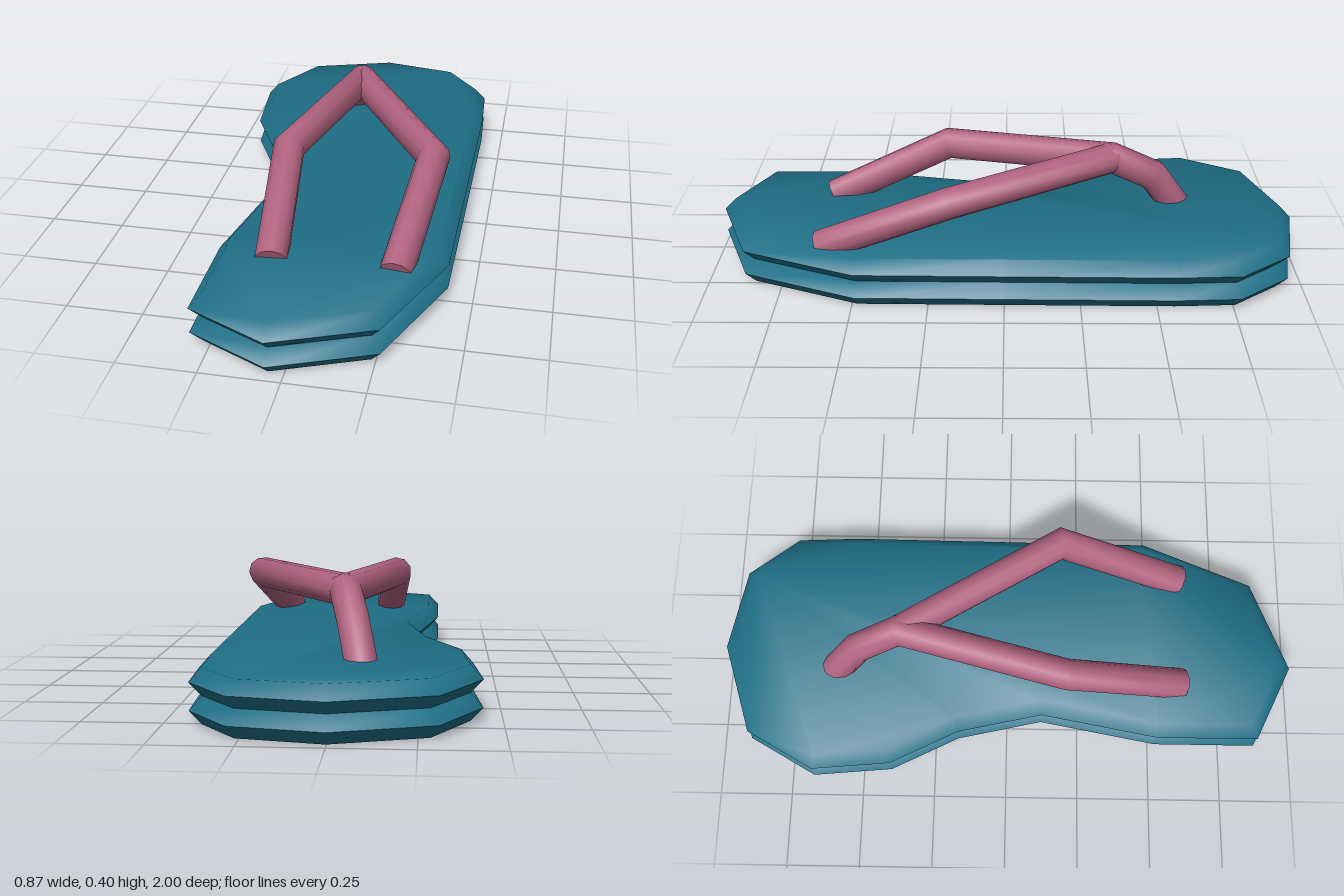
import * as THREE from 'three';
import { toCreasedNormals } from 'three/addons/utils/BufferGeometryUtils.js';

const SOLE = new THREE.MeshStandardMaterial({ color: 0x1f7088 });
const STRAP = new THREE.MeshStandardMaterial({ color: 0xb0627f });

// Foot outline as [x, z], widest line of each sole layer
const OUTLINE = [
  [0, -1], [-0.31, -0.9], [-0.44, -0.67], [-0.415, -0.4], [-0.3, -0.17],
  [-0.235, 0.12], [-0.31, 0.52], [-0.31, 0.87], [-0.05, 0.995], [0.265, 0.87],
  [0.42, 0.49], [0.425, 0], [0.43, -0.56], [0.42, -0.77], [0.285, -0.945],
].map(([x, z]) => new THREE.Vector2(x, z));

// Move every outline corner inward along its mitre
function inset(points, d) {
  const n = points.length;
  return points.map((p, i) => {
    const a = p.clone().sub(points[(i + n - 1) % n]).normalize();
    const b = points[(i + 1) % n].clone().sub(p).normalize();
    const na = new THREE.Vector2(a.y, -a.x), nb = new THREE.Vector2(b.y, -b.x);
    const m = na.clone().add(nb).normalize();
    return p.clone().addScaledVector(m, d / m.dot(na));
  });
}

// Join equal-sized rings of points into a closed skin, with both ends capped
function loft(rings, capFaces, crease) {
  const n = rings[0].length, last = (rings.length - 1) * n, index = [];
  for (let r = 0; r < rings.length - 1; r++) {
    for (let i = 0; i < n; i++) {
      const a = r * n + i, b = r * n + (i + 1) % n;
      index.push(a, b, b + n, a, b + n, a + n);
    }
  }
  for (const [a, b, c] of capFaces) index.push(a, c, b, last + a, last + b, last + c);
  const g = new THREE.BufferGeometry().setFromPoints(rings.flat());
  g.setIndex(index);
  return toCreasedNormals(g, crease);
}

function soleLayer(y0, y1) {
  const rim = inset(OUTLINE, 0.037);
  const ring = (pts, y) => pts.map((p) => new THREE.Vector3(p.x, y, p.y));
  const rings = [ring(rim, y0), ring(OUTLINE, (y0 + y1) / 2), ring(rim, y1)];
  // Triangulation keeps the outline's turning direction, made to face up
  const faces = THREE.ShapeUtils.triangulateShape(rim, []).map(([a, b, c]) => {
    const cross = rim[b].clone().sub(rim[a]).cross(rim[c].clone().sub(rim[a]));
    return cross < 0 ? [a, b, c] : [a, c, b];
  });
  return loft(rings, faces, Math.PI / 3);
}

// Round bar swept along straight pieces with mitred bends
function bar(path, radius, sides = 10) {
  const pts = path.map((p) => new THREE.Vector3(...p));
  const dirs = pts.slice(1).map((p, i) => p.clone().sub(pts[i]).normalize());
  const u = new THREE.Vector3(0, 1, 0).cross(dirs[0]).normalize();
  const v = dirs[0].clone().cross(u);
  let ring = [];
  for (let i = 0; i < sides; i++) {
    const t = (i / sides) * Math.PI * 2;
    ring.push(pts[0].clone().addScaledVector(u, radius * Math.cos(t)).addScaledVector(v, radius * Math.sin(t)));
  }
  const rings = [ring];
  dirs.forEach((d, i) => {
    const plane = d.clone().add(dirs[i + 1] ?? d).normalize();
    ring = ring.map((q) => q.clone().addScaledVector(d, pts[i + 1].clone().sub(q).dot(plane) / d.dot(plane)));
    rings.push(ring);
  });
  const faces = [];
  for (let i = 1; i < sides - 1; i++) faces.push([0, i, i + 1]);
  return loft(rings, faces, Math.PI / 3);
}

export function createModel() {
  const group = new THREE.Group();
  group.name = 'flipFlop';
  const add = (name, geometry, material) => {
    const mesh = new THREE.Mesh(geometry, material);
    mesh.name = name;
    group.add(mesh);
  };

  // Two stacked sole layers with pointed edges
  add('lowerSole', soleLayer(0, 0.086), SOLE);
  add('upperSole', soleLayer(0.086, 0.17), SOLE);

  // Toe post running into one side strap, the other strap joining at the fork
  const fork = [-0.01, 0.35, -0.37];
  add('toePostAndRightStrap', bar([
    [-0.08, 0.13, -0.61], [-0.045, 0.27, -0.515], fork,
    [-0.155, 0.34, 0.2], [-0.12, 0.155, 0.61],
  ], 0.053), STRAP);
  add('leftStrap', bar([
    fork, [0.325, 0.34, 0.18], [0.27, 0.155, 0.61],
  ], 0.053), STRAP);
  return group;
}
